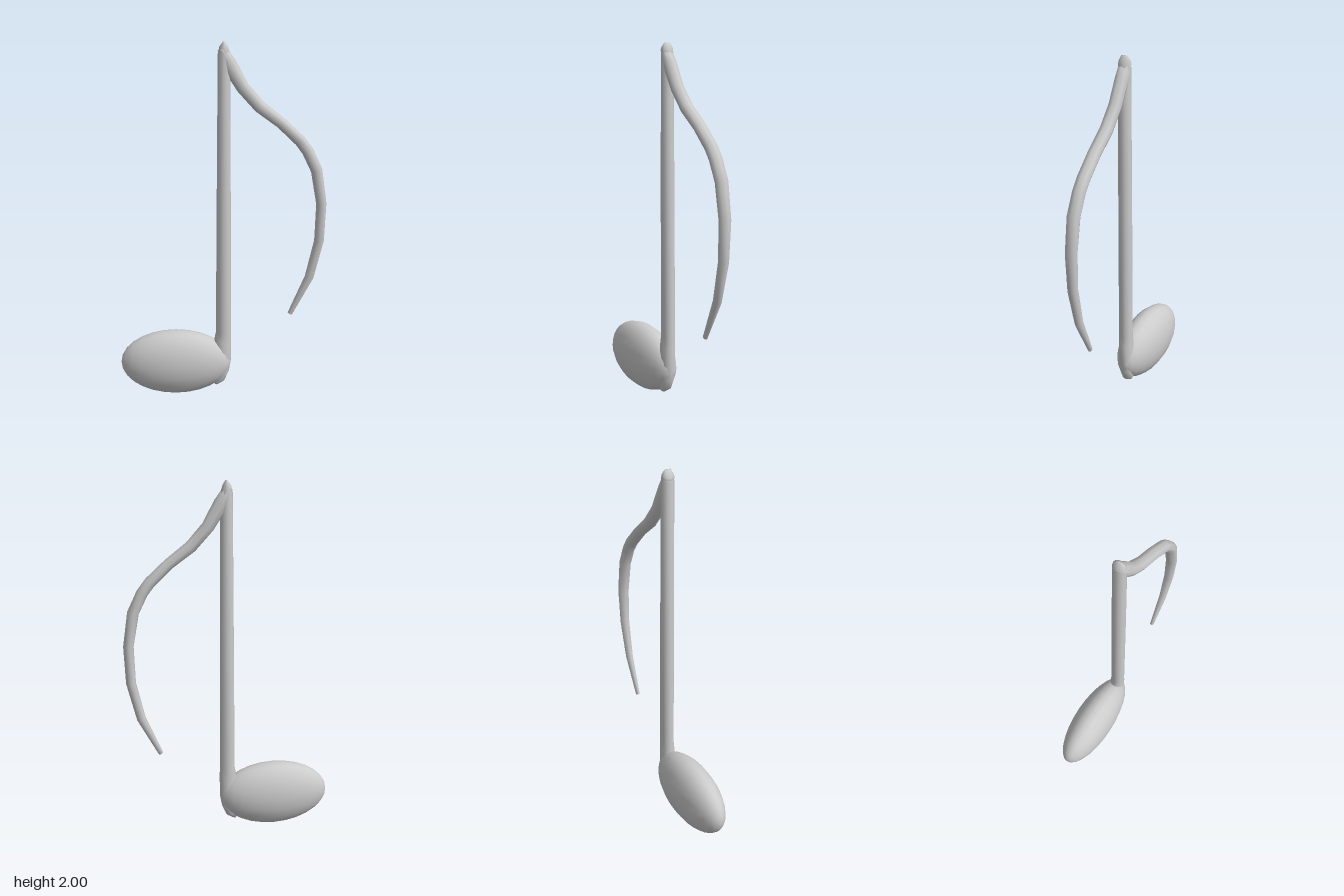
import * as THREE from 'three';

const material = new THREE.MeshStandardMaterial({ color: 0xcccccc });

// Sweeps an oval section along a path in the xy plane.
// Each station: [x, y, z, half width in plane, half depth in z]
function sweep(stations, sides) {
  const pos = [], index = [];
  const n = stations.length;
  stations.forEach(([x, y, z, w, d], i) => {
    const p = stations[Math.max(i - 1, 0)], q = stations[Math.min(i + 1, n - 1)];
    const t = new THREE.Vector2(q[0] - p[0], q[1] - p[1]).normalize();
    for (let j = 0; j < sides; j++) {
      const a = (j / sides) * Math.PI * 2;
      const c = Math.cos(a) * w;
      pos.push(x - t.y * c, y + t.x * c, z + Math.sin(a) * d);
    }
  });
  for (let i = 0; i < n - 1; i++) {
    for (let j = 0; j < sides; j++) {
      const k = (j + 1) % sides;
      const a = i * sides + j, b = i * sides + k;
      index.push(a, b, a + sides, b, b + sides, a + sides);
    }
  }
  // end caps
  const first = n * sides, last = first + 1, end = (n - 1) * sides;
  pos.push(...stations[0].slice(0, 3), ...stations[n - 1].slice(0, 3));
  for (let j = 0; j < sides; j++) {
    const k = (j + 1) % sides;
    index.push(first, k, j, last, end + j, end + k);
  }
  const g = new THREE.BufferGeometry();
  g.setAttribute('position', new THREE.Float32BufferAttribute(pos, 3));
  g.setIndex(index);
  g.computeVertexNormals();
  return g;
}

export function createModel() {
  const group = new THREE.Group();
  const add = (name, geometry) => {
    const mesh = new THREE.Mesh(geometry, material);
    mesh.name = name;
    group.add(mesh);
    return mesh;
  };

  // flattened oval head, poles along x
  const oval = new THREE.SphereGeometry(1, 20, 14).rotateZ(Math.PI / 2);
  oval.scale(0.315, 0.194, 0.118);
  add('noteHead', oval).position.set(-0.263, 0.197, 0);

  // stem, blending into the head at the bottom and rounded at the top
  add('stem', sweep([
    [-0.04, 0.06, 0, 0.02, 0.02],
    [-0.015, 0.09, 0, 0.036, 0.036],
    [0.0, 0.14, 0, 0.043, 0.042],
    [0.007, 0.2, 0, 0.047, 0.042],
    [0.007, 0.33, 0, 0.049, 0.041],
    [0.011, 0.38, 0, 0.043, 0.039],
    [0.012, 1.2, 0.003, 0.038, 0.037],
    [0.012, 1.94, 0.006, 0.032, 0.034],
    [0.011, 1.975, 0.006, 0.023, 0.033],
    [0.012, 2.0, 0.006, 0.006, 0.018],
  ], 12));

  // curved flag, tapering to a thin tip
  add('flag', sweep([
    [0.002, 1.965, 0.006, 0.024, 0.034],
    [0.04, 1.885, 0.006, 0.04, 0.036],
    [0.11, 1.768, 0.006, 0.034, 0.036],
    [0.2, 1.668, 0.006, 0.033, 0.036],
    [0.315, 1.582, 0.007, 0.03, 0.036],
    [0.418, 1.486, 0.008, 0.031, 0.036],
    [0.46, 1.43, 0.009, 0.031, 0.036],
    [0.511, 1.325, 0.01, 0.031, 0.036],
    [0.543, 1.14, 0.01, 0.028, 0.034],
    [0.538, 0.93, 0.011, 0.027, 0.028],
    [0.49, 0.715, 0.011, 0.025, 0.021],
    [0.388, 0.495, 0.011, 0.014, 0.012],
  ], 8));

  return group;
}
